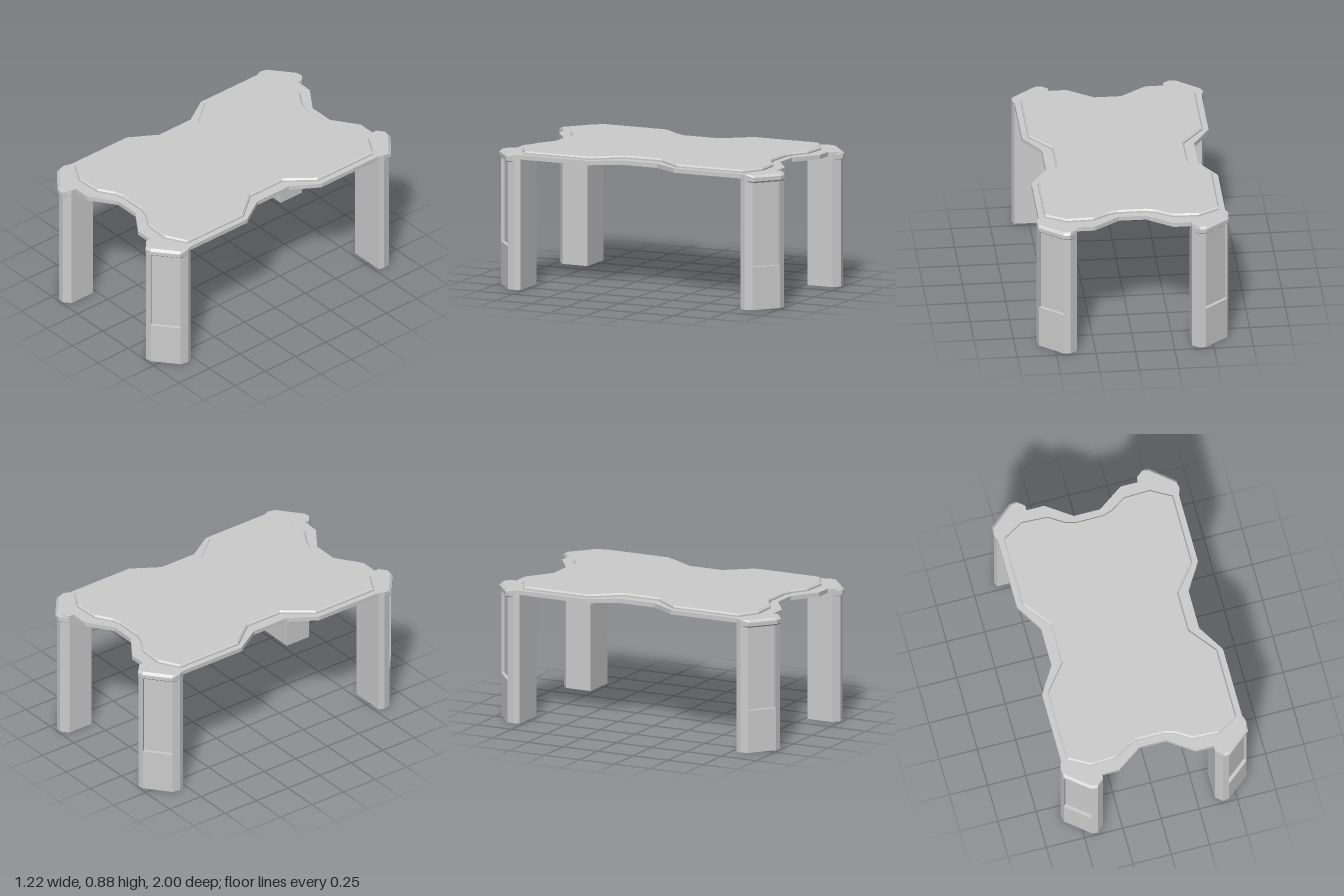
import * as THREE from 'three';

const material = new THREE.MeshStandardMaterial({ color: 0xcccccc, flatShading: true, side: THREE.DoubleSide });

// Closed outline from one quarter (x, z), mirrored into all four quadrants
function mirroredShape(quarter) {
  const flip = (sx, sz) => quarter.map(([x, z]) => new THREE.Vector2(x * sx, z * sz));
  return new THREE.Shape([
    ...flip(1, 1), ...flip(1, -1).reverse(), ...flip(-1, -1), ...flip(-1, 1).reverse(),
  ]);
}

// Horizontal plate extruded upward from height y
function plate(name, quarter, y, options) {
  const geometry = new THREE.ExtrudeGeometry(mirroredShape(quarter), options);
  geometry.rotateX(-Math.PI / 2).translate(0, y, 0);
  const mesh = new THREE.Mesh(geometry, material);
  mesh.name = name;
  return mesh;
}

// Leg cross-section (x, z): inner corner first, then around the chamfered outer side
const section = [
  [0.365, 0.775], [0.365, 0.95], [0.41, 0.988], [0.45, 0.982],
  [0.598, 0.86], [0.608, 0.81], [0.595, 0.775],
];
const PANEL = 3; // section edge that carries the recessed panel
const RECESS = { bottom: 0.275, top: 0.815, depth: 0.022 };

// Moves the outer points of the section along the leg's diagonal
const shifted = (d) => section.map(([x, z], i) => (i >= 2 && i <= 4 ? [x + d * 0.6, z + d] : [x, z]));

function leg(sx, sz) {
  const positions = [];
  const tri = (a, b, c) => {
    const order = sx * sz > 0 ? [a, b, c] : [a, c, b];
    for (const [x, y, z] of order) positions.push(x * sx, y, z * sz);
  };
  const quad = (a, b, c, d) => { tri(a, b, c); tri(a, c, d); };
  const at = ([x, z], y) => [x, y, z];

  // Walls, open at the foot, with a slightly flared and chamfered head
  const rings = [
    [0, section], [RECESS.bottom, section], [RECESS.top, section],
    [0.825, shifted(0.01)], [0.85, shifted(0.01)], [0.865, shifted(-0.004)],
  ];
  for (let r = 0; r < rings.length - 1; r++) {
    const [y0, low] = rings[r], [y1, high] = rings[r + 1];
    for (let i = 0; i < section.length; i++) {
      if (r === 1 && i === PANEL) continue;
      const j = (i + 1) % section.length;
      quad(at(low[i], y0), at(low[j], y0), at(high[j], y1), at(high[i], y1));
    }
  }

  // Top face
  const [topY, top] = rings[rings.length - 1];
  for (let i = 1; i < top.length - 1; i++) tri(at(top[0], topY), at(top[i], topY), at(top[i + 1], topY));

  // Recessed panel with its four reveal walls
  const p = section[PANEL], q = section[PANEL + 1];
  const length = Math.hypot(q[0] - p[0], q[1] - p[1]);
  const nx = -(q[1] - p[1]) / length * RECESS.depth, nz = (q[0] - p[0]) / length * RECESS.depth;
  const inset = ([x, z]) => [x - nx, z - nz];
  const { bottom, top: head } = RECESS;
  const outer = [at(p, bottom), at(q, bottom), at(q, head), at(p, head)];
  const inner = [at(inset(p), bottom), at(inset(q), bottom), at(inset(q), head), at(inset(p), head)];
  quad(...inner);
  for (let i = 0; i < 4; i++) {
    const j = (i + 1) % 4;
    quad(outer[i], outer[j], inner[j], inner[i]);
  }

  const geometry = new THREE.BufferGeometry();
  geometry.setAttribute('position', new THREE.Float32BufferAttribute(positions, 3));
  geometry.computeVertexNormals();
  const mesh = new THREE.Mesh(geometry, material);
  mesh.name = `${sz > 0 ? 'front' : 'back'}${sx > 0 ? 'Left' : 'Right'}Leg`;
  return mesh;
}

export function createModel() {
  const model = new THREE.Group();
  model.name = 'table';

  // Waisted table slab
  model.add(plate('tableSlab', [
    [0.085, 0.803], [0.25, 0.918], [0.38, 0.918], [0.5, 0.88], [0.592, 0.79], [0.592, 0.305], [0.483, 0.13],
  ], 0.837, { depth: 0.028, bevelEnabled: false }));

  // Raised top panel with a bevelled rim
  model.add(plate('topPanel', [
    [0.09, 0.757], [0.15, 0.775], [0.25, 0.838], [0.42, 0.845], [0.555, 0.768], [0.555, 0.305], [0.417, 0.13],
  ], 0.865, { depth: 0.01, bevelThickness: 0.01, bevelSize: 0.01, bevelOffset: -0.01, bevelSegments: 1 }));

  // Four mirrored legs
  for (const sx of [1, -1]) for (const sz of [1, -1]) model.add(leg(sx, sz));

  return model;
}
